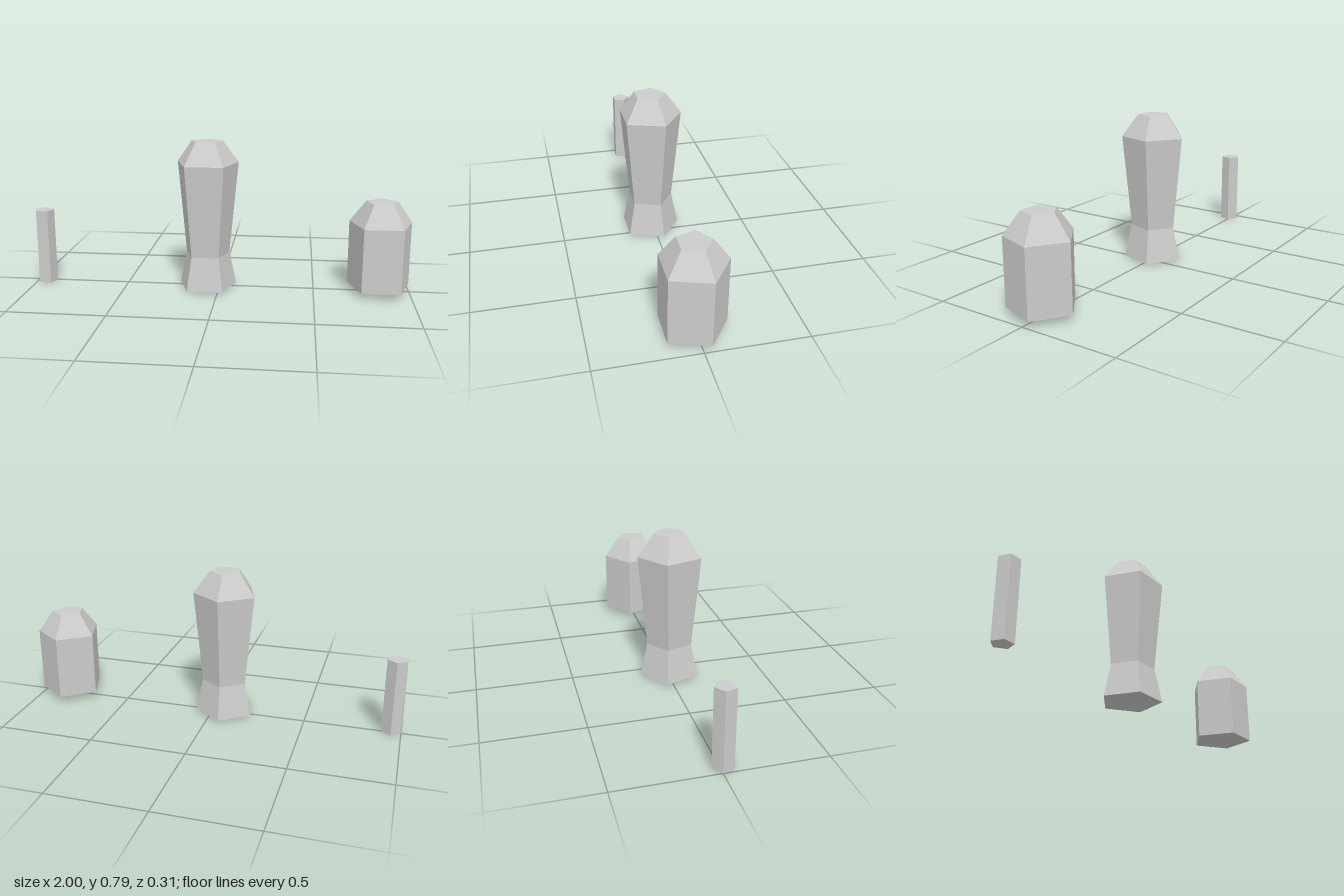
import * as THREE from 'three';

const SIDES = 5;
const CENTRE_Z = 0.016;

// Closed five-sided solid from [radius, height] rings, bottom to top,
// with one corner pointing back and a flat side facing front.
function pentagonSolid(name, x, rings) {
  const profile = [
    [0, rings[0][1]],
    ...rings,
    [0, rings[rings.length - 1][1]],
  ].map(([r, y]) => new THREE.Vector2(r, y));
  const geometry = new THREE.LatheGeometry(profile, SIDES, Math.PI);
  const material = new THREE.MeshStandardMaterial({ color: 0xcccccc, flatShading: true });
  const mesh = new THREE.Mesh(geometry, material);
  mesh.name = name;
  mesh.position.set(x, 0, CENTRE_Z);
  return mesh;
}

export function createModel() {
  const group = new THREE.Group();
  group.name = 'pentagonalSolids';

  // Thin straight rod
  group.add(pentagonSolid('thinRod', -0.95, [[0.0526, 0], [0.0526, 0.4]]));

  // Tall piece: flared foot, narrow waist, wide shoulder, tapered top
  group.add(pentagonSolid('waistedPillar', -0.065, [
    [0.159, 0.008], [0.121, 0.185], [0.169, 0.67], [0.085, 0.785],
  ]));

  // Short piece: straight body with the same tapered top
  group.add(pentagonSolid('shortPillar', 0.84, [
    [0.169, 0.033], [0.169, 0.37], [0.085, 0.485],
  ]));

  return group;
}
